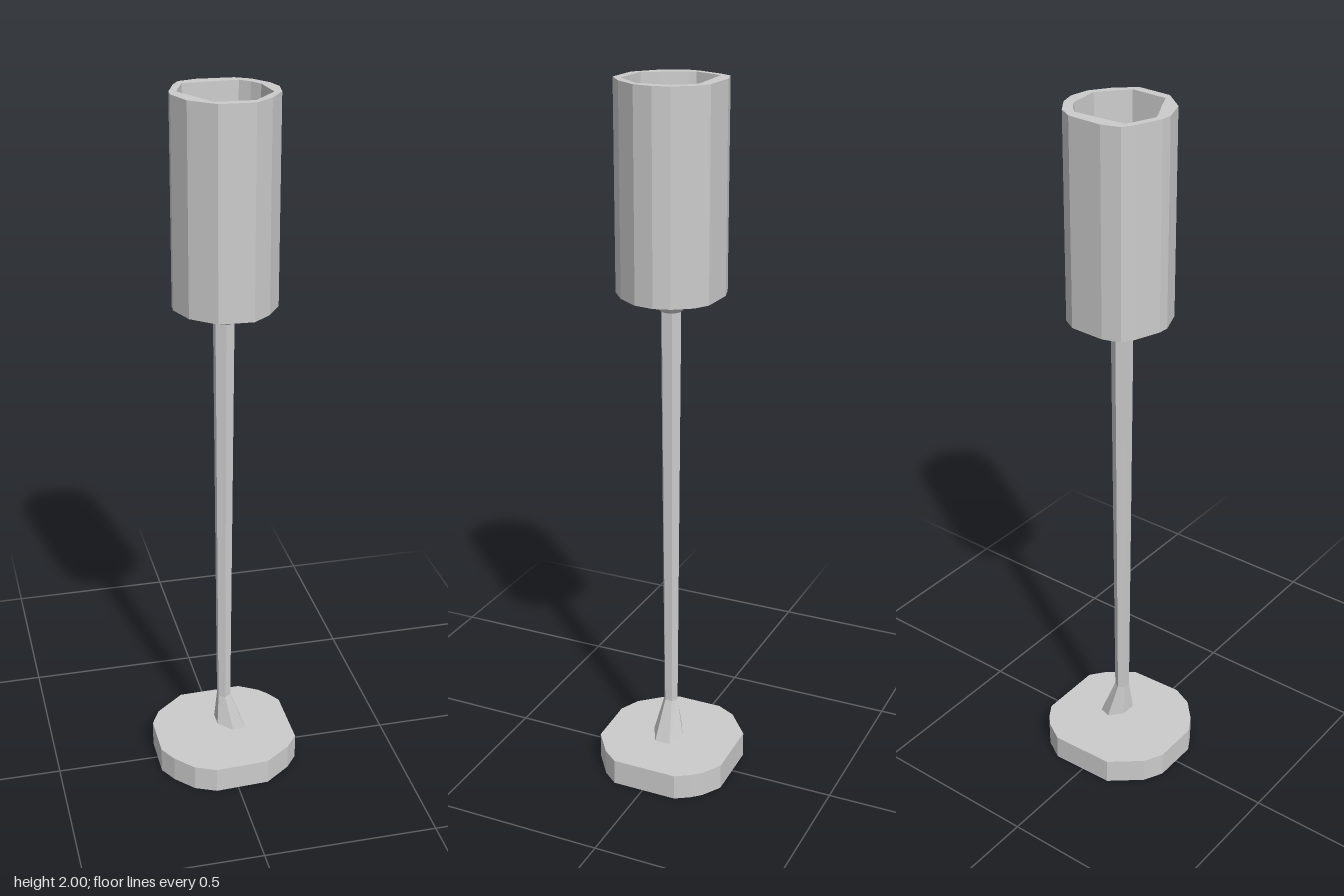
import * as THREE from 'three';

const material = new THREE.MeshStandardMaterial({ color: 0xcccccc, flatShading: true });

// Plan outlines as [x, z], running from the back round through +x.
const BASE = [[-0.09, -0.195], [0.095, -0.2], [0.15, -0.167], [0.175, -0.14], [0.2, -0.1],
  [0.2, 0.09], [0.165, 0.135], [0.09, 0.19], [-0.065, 0.197], [-0.125, 0.17],
  [-0.175, 0.115], [-0.203, 0.065], [-0.203, -0.07], [-0.175, -0.125]];
const CUP_OUTER = [[-0.09, -0.125], [-0.04, -0.14], [0.06, -0.135], [0.1, -0.11], [0.135, -0.06],
  [0.148, -0.015], [0.14, 0.04], [0.1, 0.1], [0.05, 0.14], [-0.045, 0.135],
  [-0.11, 0.08], [-0.137, 0.01], [-0.135, -0.02], [-0.11, -0.09]];
const CUP_INNER = [[-0.085, -0.1], [-0.01, -0.103], [0.065, -0.105], [0.09, -0.08], [0.11, -0.05],
  [0.115, -0.005], [0.12, 0.04], [0.09, 0.075], [0.055, 0.115], [-0.05, 0.11],
  [-0.075, 0.06], [-0.108, 0], [-0.115, -0.02], [-0.1, -0.06]];

const ring = (outline, y, scale = 1) => outline.map(([x, z]) => [x * scale, y, z * scale]);

// Six-sided ring for the stem; tilt lowers the +x side.
function hexRing(cx, y, rx, rz, tilt = 0) {
  return Array.from({ length: 6 }, (_, i) => {
    const a = (i + 0.5) * Math.PI / 3;
    const x = Math.cos(a) / Math.cos(Math.PI / 6);
    return [cx + rx * x, y - tilt * x, rz * Math.sin(a)];
  });
}

// Joins successive rings into a closed skin with a fan cap at each end.
function loft(name, rings) {
  const n = rings[0].length;
  const points = rings.flat();
  const index = [];
  for (let r = 0; r < rings.length - 1; r++) {
    for (let i = 0; i < n; i++) {
      const a = r * n + i, b = r * n + (i + 1) % n;
      index.push(a, a + n, b, b, a + n, b + n);
    }
  }
  const cap = (r, up) => {
    const centre = points.length;
    points.push([0, 1, 2].map(k => rings[r].reduce((s, p) => s + p[k], 0) / n));
    for (let i = 0; i < n; i++) {
      const a = r * n + i, b = r * n + (i + 1) % n;
      index.push(centre, up ? b : a, up ? a : b);
    }
  };
  cap(0, false);
  cap(rings.length - 1, true);
  const g = new THREE.BufferGeometry();
  g.setAttribute('position', new THREE.Float32BufferAttribute(points.flat(), 3));
  g.setIndex(index);
  const geometry = g.toNonIndexed();
  geometry.computeVertexNormals();
  const mesh = new THREE.Mesh(geometry, material);
  mesh.name = name;
  return mesh;
}

export function createModel() {
  const group = new THREE.Group();
  group.name = 'stemmedHolder';

  // Thick faceted foot
  group.add(loft('base', [ring(BASE, 0), ring(BASE, 0.075)]));

  // Slender stem, its lopsided foot flaring towards +x
  group.add(loft('stem', [
    hexRing(0.02, 0.095, 0.043, 0.046, 0.014),
    hexRing(0.001, 0.2, 0.018, 0.021),
    hexRing(0.001, 1.41, 0.026, 0.03),
  ]));

  // Hollow cup: shallow cone underneath, outer wall, rim, inner wall, floor
  group.add(loft('cup', [
    ring(CUP_OUTER, 1.39, 0.22),
    ring(CUP_OUTER, 1.405, 0.3),
    ring(CUP_OUTER, 1.435),
    ring(CUP_OUTER, 2),
    ring(CUP_INNER, 2),
    ring(CUP_INNER, 1.45, 0.88),
  ]));

  return group;
}
